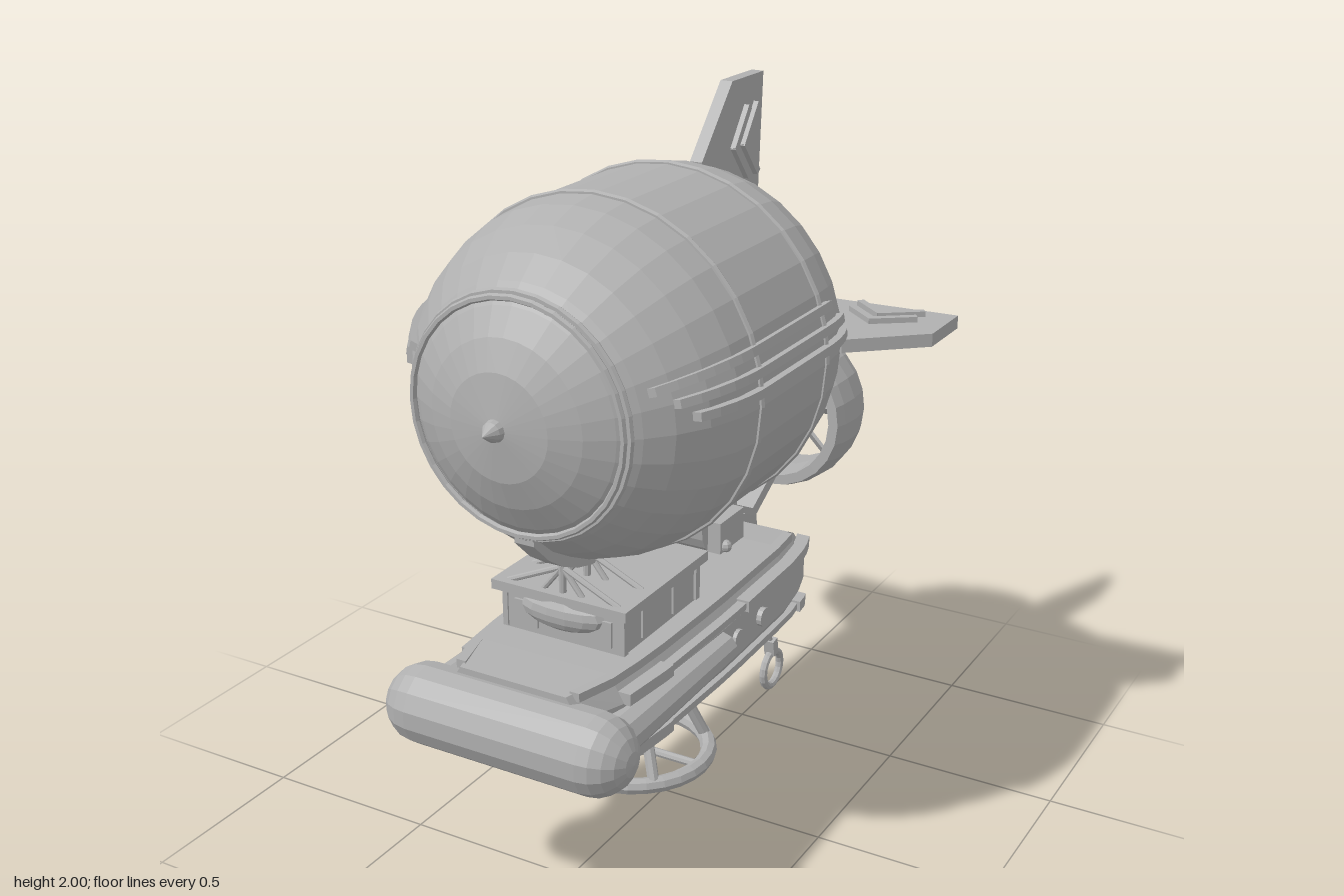
import * as THREE from 'three';

export function createModel() {
  const model = new THREE.Group();
  model.name = 'airship';
  const grey = new THREE.MeshStandardMaterial({ color: 0xb0b0b0, flatShading: true });
  grey.name = 'plain grey';
  const V = (x, y, z) => new THREE.Vector3(x, y, z);

  const add = (name, geo, pos = [0, 0, 0], rot = [0, 0, 0], parent = model) => {
    const m = new THREE.Mesh(geo, grey);
    m.name = name;
    m.position.set(...pos);
    m.rotation.set(...rot);
    parent.add(m);
    return m;
  };
  const box = (name, size, pos, rot, parent) => add(name, new THREE.BoxGeometry(...size), pos, rot, parent);
  // round bar between two points
  const rod = (name, a, b, r, parent = model) => {
    const d = b.clone().sub(a);
    const m = add(name, new THREE.CylinderGeometry(r, r, d.length(), 8), a.clone().add(b).multiplyScalar(0.5).toArray(), [0, 0, 0], parent);
    m.quaternion.setFromUnitVectors(V(0, 1, 0), d.normalize());
    return m;
  };
  // skin over closed cross-sections, ordered front to back, corners counter-clockwise from the front
  const loft = (rings) => {
    const n = rings[0].length, idx = [], last = (rings.length - 1) * n;
    for (let s = 0; s < rings.length - 1; s++)
      for (let i = 0; i < n; i++) {
        const a = s * n + i, b = s * n + (i + 1) % n;
        idx.push(a, a + n, b, b, a + n, b + n);
      }
    for (let i = 1; i < n - 1; i++) idx.push(0, i, i + 1, last, last + i + 1, last + i);
    const g = new THREE.BufferGeometry();
    g.setAttribute('position', new THREE.Float32BufferAttribute(rings.flat(2), 3));
    g.setIndex(idx);
    g.computeVertexNormals();
    return g;
  };
  // surface of revolution about the z axis, profile as [radius, z] from back to front
  const turned = (pts, seg) => new THREE.LatheGeometry(pts.map(p => new THREE.Vector2(...p)), seg).rotateX(Math.PI / 2);

  // ---- balloon ----
  const Y = 1.38, R = 0.46;
  const radius = (z) => {
    if (z > 0.33) return R * Math.sqrt(Math.max(0, 1 - ((z - 0.33) / 0.45) ** 2));
    if (z >= -0.03) return R;
    if (z >= -0.39) return R * Math.sqrt(1 - ((-0.03 - z) / 0.43) ** 2);
    return 0.25 * (z + 0.51) / 0.12;
  };
  const profile = [-0.51, -0.45, -0.39, -0.34, -0.28, -0.2, -0.12, -0.03, 0.33, 0.42, 0.51, 0.59, 0.65, 0.69, 0.73, 0.76, 0.78]
    .map(z => [Math.max(0, radius(z)), z]);
  add('balloon', turned(profile, 32), [0, Y, 0]);
  for (const [z, r] of [[0.33, R], [-0.03, R], [-0.39, 0.25], [0.69, 0.295], [0.675, 0.305]])
    add('balloonHoop', new THREE.TorusGeometry(r, 0.009, 6, 32), [0, Y, z]);
  add('noseCone', turned([[0.03, 0.77], [0.025, 0.79], [0, 0.825]], 12), [0, Y, 0]);
  add('tailCone', turned([[0, -0.565], [0.028, -0.51], [0.028, -0.46]], 12), [0, Y, 0]);

  // strips that hug the balloon at a fixed angle
  const strip = (name, a, z0, z1, w, inner, outer) => {
    const rings = [];
    for (let i = 0; i <= 16; i++) {
      const z = z0 + (z1 - z0) * i / 16, r = radius(z);
      rings.push([[r - inner, -w], [r + outer, -w], [r + outer, w], [r - inner, w]].map(([q, t]) =>
        [q * Math.cos(a) - t * Math.sin(a), q * Math.sin(a) + t * Math.cos(a), z]));
    }
    add(name, loft(rings), [0, Y, 0]);
  };
  for (const [a, z0, z1] of [[0.31, 0.63, -0.07], [0.195, 0.59, -0.15], [0.09, 0.55, -0.23]])
    for (const ang of [a, Math.PI - a]) strip('sideStrip', ang, z0, z1, 0.011, 0.01, 0.018);
  strip('keel', -Math.PI / 2, 0.67, -0.36, 0.028, 0.01, 0.028);

  // ---- tail fins with raised chevrons ----
  const finShape = new THREE.Shape([[0, -0.49], [0.1, -0.49], [0.62, -0.52], [0.62, -0.34], [0.435, -0.175], [0.3, -0.2], [0, -0.4]]
    .map(p => new THREE.Vector2(...p)));
  const finGeo = new THREE.ExtrudeGeometry(finShape, { depth: 0.036, bevelEnabled: false });
  finGeo.translate(0, 0, -0.018).rotateX(Math.PI / 2);
  for (let k = 0; k < 4; k++) {
    const fin = new THREE.Group();
    fin.name = 'tailFin';
    fin.position.y = Y;
    fin.rotation.z = k * Math.PI / 2;
    model.add(fin);
    add('finPlate', finGeo, [0, 0, 0], [0, 0, 0], fin);
    for (const z of [-0.4, -0.345])
      for (const [dx, dz] of [[-0.085, -0.072], [0.095, -0.07]])
        box('chevronBar', [Math.hypot(dx, dz) + 0.012, 0.066, 0.02], [0.442 + dx / 2, 0, z + dz / 2], [0, Math.atan2(-dz, dx), 0], fin);
  }
  box('upperFinBracket', [0.06, 0.045, 0.075], [0, 1.12, -0.52], [-0.6, 0, 0]);
  box('lowerFinBracket', [0.15, 0.035, 0.16], [0, 0.785, -0.475], [0.52, 0, 0]);
  box('lowerFinBlock', [0.1, 0.05, 0.05], [0, 0.81, -0.535], [0.52, 0, 0]);

  // ---- ducted propeller ----
  const prop = new THREE.Group();
  prop.name = 'propeller';
  prop.position.set(0, 0.96, -0.735);
  model.add(prop);
  add('duct', turned([[0.225, -0.095], [0.236, -0.06], [0.242, 0], [0.236, 0.06], [0.225, 0.095],
    [0.195, 0.095], [0.19, 0], [0.195, -0.095], [0.225, -0.095]], 24), [0, 0, 0], [0, 0, 0], prop);
  add('hub', turned([[0, -0.125], [0.025, -0.105], [0.042, -0.07], [0.042, 0.04], [0.025, 0.065], [0, 0.075]], 12), [0, 0, 0], [0, 0, 0], prop);
  for (let k = 0; k < 8; k++) {
    const arm = new THREE.Group();
    arm.name = 'bladeArm';
    arm.rotation.z = k * Math.PI / 4;
    prop.add(arm);
    box('blade', [0.17, 0.032, 0.01], [0.115, 0, -0.02], [0.7, 0, 0], arm);
  }

  // ---- hull ----
  // stations: z, half width, bottom, top
  const stations = [[0.74, 0.19, 0.48, 0.71], [0.6, 0.235, 0.435, 0.717], [0.44, 0.25, 0.405, 0.717],
    [0.1, 0.255, 0.405, 0.717], [-0.28, 0.245, 0.41, 0.717], [-0.4, 0.23, 0.43, 0.71], [-0.49, 0.2, 0.45, 0.665]];
  const half = [[0.5, 0], [0.87, 0.16], [1, 0.38], [1, 0.75], [0.82, 1]];
  const outline = [...half, ...half.map(([x, y]) => [-x, y]).reverse()];
  add('hull', loft(stations.map(([z, w, b, t]) => outline.map(([x, y]) => [x * w, b + y * (t - b), z]))));
  const hullWidth = (z) => {
    const i = Math.max(1, stations.findIndex(s => s[0] <= z));
    const [a, b] = [stations[i - 1], stations[i]];
    return a[1] + (b[1] - a[1]) * (a[0] - z) / (a[0] - b[0]);
  };
  // rails along both sides of the hull
  const rail = (name, s, y, z0, z1, f, h, out) => {
    const rings = [];
    for (let i = 0; i <= 10; i++) {
      const z = z0 + (z1 - z0) * i / 10, x = s * f * hullWidth(z);
      rings.push([[x - out, y - h, z], [x + out, y - h, z], [x + out, y + h, z], [x - out, y + h, z]]);
    }
    add(name, loft(rings));
  };
  for (const s of [1, -1]) {
    rail('upperRail', s, 0.66, 0.6, -0.48, 0.98, 0.01, 0.014);
    rail('deckEdge', s, 0.705, 0.72, -0.38, 0.85, 0.012, 0.014);
    rail('lowerRail', s, 0.5, 0.72, -0.43, 0.985, 0.01, 0.014);
    for (const [y, z0, z1] of [[0.66, 0.6, 0.41], [0.66, 0, -0.47], [0.5, 0.6, 0.41], [0.5, -0.36, -0.42]])
      rail('railSleeve', s, y, z0, z1, 0.99, 0.016, 0.02);
    // tapered side pods and portholes
    add('sidePod', new THREE.CylinderGeometry(0.056, 0.045, 0.62, 10), [s * 0.255, 0.59, 0.43], [Math.PI / 2, 0, 0]);
    for (const z of [0.04, -0.11])
      add('porthole', new THREE.CylinderGeometry(0.027, 0.027, 0.03, 12), [s * 0.25, 0.58, z], [0, 0, Math.PI / 2]);
  }
  add('bowBumper', new THREE.CapsuleGeometry(0.106, 0.5, 5, 14), [0, 0.59, 0.755], [0, 0, Math.PI / 2]);

  // ---- cabin ----
  box('cabin', [0.35, 0.12, 0.38], [0, 0.775, 0.315]);
  box('cabinRoof', [0.4, 0.027, 0.425], [0, 0.842, 0.32]);
  for (const s of [1, -1]) {
    for (const z of [0.375, 0.22]) box('sideWindow', [0.008, 0.08, 0.08], [s * 0.177, 0.77, z]);
    for (const z of [0.5, 0.13]) box('cornerPost', [0.015, 0.11, 0.02], [s * 0.175, 0.775, z]);
    box('frontWindow', [0.07, 0.07, 0.008], [s * 0.11, 0.77, 0.508]);
    // struts from the keel to the cabin roof and deck
    for (const z of [0.505, 0.39])
      for (const x of [0.06, 0.165]) rod('cabinStrut', V(0, 0.925, z), V(s * x, 0.85, z), 0.008);
    rod('rearStrut', V(0, 0.93, -0.18), V(s * 0.06, 0.86, -0.19), 0.008);
  }
  rod('cabinPost', V(0, 0.93, 0.505), V(0, 0.85, 0.505), 0.01);
  rod('cabinPost', V(0, 0.91, 0.39), V(0, 0.85, 0.39), 0.01);
  add('frontLamp', new THREE.SphereGeometry(1, 14, 8).scale(0.125, 0.05, 0.04), [0, 0.8, 0.505]);

  // ---- engine drum on the rear deck ----
  add('engineDrum', new THREE.CylinderGeometry(0.105, 0.105, 0.12, 20), [0, 0.795, -0.22], [0, 0, Math.PI / 2]);
  box('engineBlock', [0.2, 0.1, 0.14], [0, 0.76, -0.22]);
  for (const s of [1, -1])
    add('engineKnob', new THREE.SphereGeometry(0.018, 8, 6), [s * 0.105, 0.735, -0.175]);

  // ---- mooring line at the stern ----
  add('lineAnchor', new THREE.CylinderGeometry(0.036, 0.036, 0.05, 12), [0, 0.735, -0.5], [0, 0, Math.PI / 2]);
  box('anchorBase', [0.06, 0.06, 0.12], [0, 0.69, -0.45]);
  rod('mooringLine', V(0, 0.735, -0.53), V(0, 0.16, -0.69), 0.008);
  box('lineClasp', [0.035, 0.055, 0.03], [0, 0.155, -0.692], [0.2, 0, 0]);
  add('mooringRing', new THREE.TorusGeometry(0.058, 0.013, 8, 18), [0, 0.072, -0.7], [0, Math.PI / 2, 0]);

  // ---- landing ring ----
  const cz = 0.157;
  add('landingRing', new THREE.TorusGeometry(0.207, 0.023, 8, 28), [0, 0.227, cz], [Math.PI / 2, 0, 0]);
  add('landingHub', new THREE.CylinderGeometry(0.045, 0.045, 0.04, 12), [0, 0.242, cz]);
  for (const s of [1, -1]) {
    rod('landingSpoke', V(0, 0.23, cz), V(s * 0.2, 0.23, cz), 0.012);
    rod('landingSpoke', V(0, 0.23, cz), V(0, 0.23, cz + s * 0.2), 0.012);
    for (const t of [1, -1])
      rod('landingLeg', V(s * 0.147, 0.23, cz + t * 0.147), V(s * 0.075, 0.43, cz + t * 0.085), 0.016);
  }
  return model;
}
